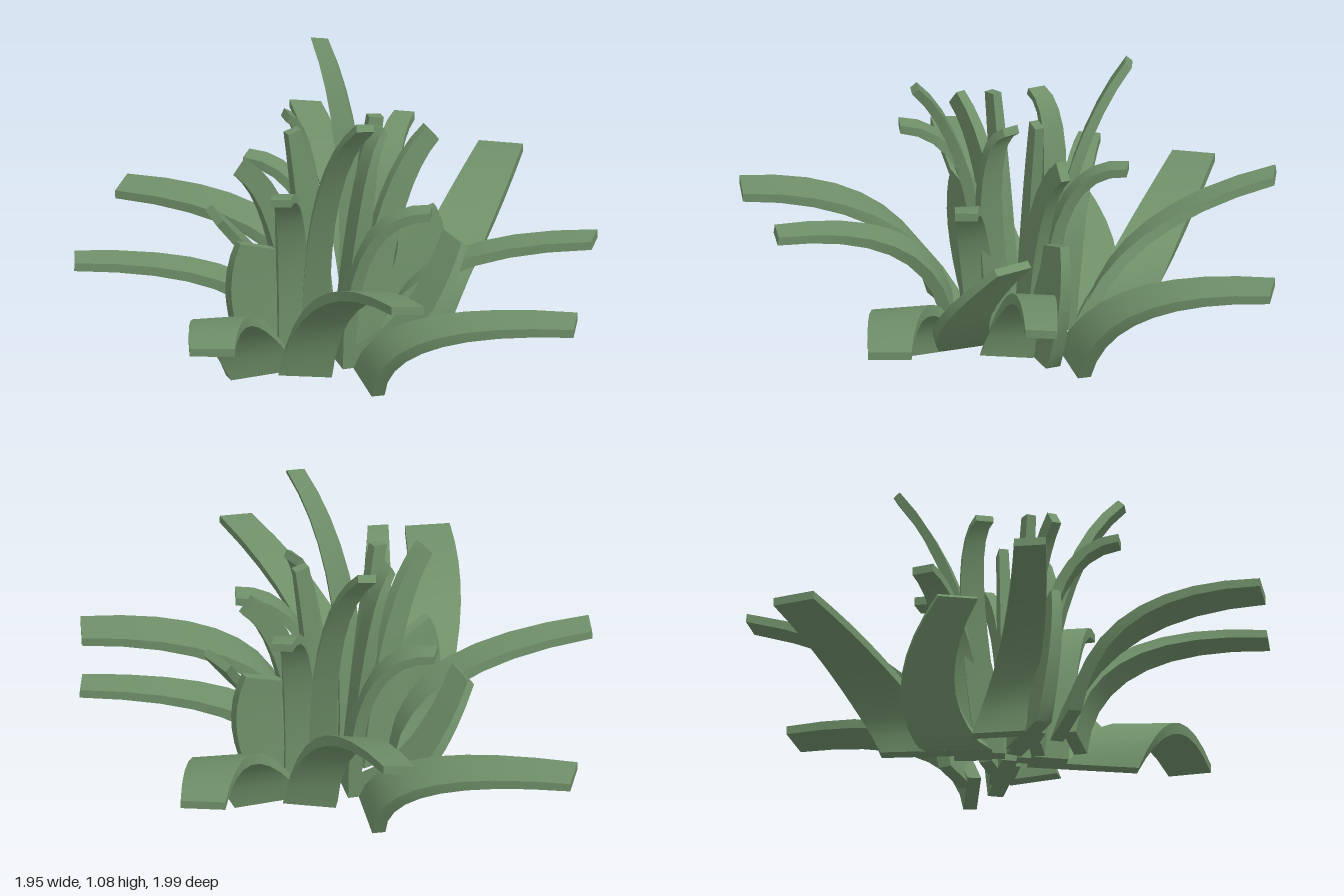
import * as THREE from 'three';

const material = new THREE.MeshStandardMaterial({ color: 0x6f9069 });
const SEGMENTS = 9;

// root: x, z on the ground; tip: x, y, z; width and thickness: at the root
// heading: direction of the width in degrees (x towards z), at root and tip
// lean: sideways bulge of the bend; rise: height of the bend relative to the tip
const outerBlades = [
  { name: 'outerLeafLow', root: [0.04, -0.35], tip: [-0.515, 0.335, -0.935], width: 0.27, heading: [-75, -55], lean: [0.04, -0.17], rise: 1.04 },
  { name: 'outerLeafHigh', root: [0.21, -0.17], tip: [0.215, 0.56, -0.95], width: 0.2, heading: [35, 27], lean: [-0.04, -0.07], rise: 0.85 },
  { name: 'outerLeafBroad', root: [0.34, -0.08], tip: [0.885, 0.42, -0.65], width: 0.28, heading: [8, 30], lean: [0.23, -0.02] },
  { name: 'outerLeafMiddle', root: [0.17, 0.12], tip: [0.93, 0.435, 0.31], width: 0.2, heading: [120, 120], lean: [0.04, -0.11], rise: 0.92 },
];
const innerBlades = [
  { name: 'curledLeaf', root: [0.0, -0.2], tip: [-0.37, 0.47, -0.28], width: 0.25, heading: [-75, -88], lean: [-0.12, -0.26], rise: 0.35 },
  { name: 'tallLeaf', root: [0.1, -0.06], tip: [0.09, 1.07, -0.41], width: 0.11, heading: [30, 27], lean: [0.05, -0.04], rise: 0.73 },
  { name: 'innerLeafBroad', root: [0.18, -0.02], tip: [0.38, 0.775, -0.28], width: 0.13, heading: [8, 30] },
  { name: 'innerLeafLow', root: [0.03, -0.14], tip: [-0.21, 0.645, -0.38], width: 0.14, heading: [-78, -55], lean: [0.02, -0.06] },
  { name: 'centreLeafCurved', root: [0, -0.08], tip: [-0.14, 0.91, -0.13], width: 0.11, heading: [-80, -90], lean: [0, -0.13], rise: 0.93 },
];
// Blades standing on edge, deep in the plane of their bend
const edgeBlades = [
  { name: 'edgeLeafShort', root: [0.2, 0.01], tip: [0.33, 0.49, -0.01], width: 0.06, thickness: 0.26, heading: [90, 90], lean: [0.2, 0], rise: 0.6 },
  { name: 'edgeLeafLong', root: [0.13, 0.02], tip: [0.395, 0.82, -0.01], width: 0.06, thickness: 0.12, heading: [90, 90], lean: [0.05, 0], rise: 0.78 },
  { name: 'edgeLeafCentre', root: [0.07, 0], tip: [0.17, 0.92, 0], width: 0.06, thickness: 0.09, heading: [90, 90], lean: [0.04, 0], rise: 0.6 },
];

// Sweeps a rectangle along a bent centre line; hard edges, smooth along the length
function bladeGeometry({ root, tip, width, heading, thickness = 0.05, lean = [0, 0], rise = 1 }) {
  const curve = new THREE.QuadraticBezierCurve3(
    new THREE.Vector3(root[0], 0, root[1]),
    new THREE.Vector3(root[0] + lean[0], tip[1] * rise, root[1] + lean[1]),
    new THREE.Vector3(...tip));
  const sections = [];
  for (let i = 0; i <= SEGMENTS; i++) {
    const t = i / SEGMENTS;
    const centre = curve.getPoint(t);
    const angle = THREE.MathUtils.degToRad(THREE.MathUtils.lerp(heading[0], heading[1], t));
    const across = new THREE.Vector3(Math.cos(angle), 0, Math.sin(angle));
    const normal = curve.getTangent(t).cross(across);
    if (i === 0) normal.y = 0; // flat foot on the ground
    normal.normalize().multiplyScalar(thickness * THREE.MathUtils.lerp(0.5, 0.32, t));
    across.multiplyScalar(width * THREE.MathUtils.lerp(0.5, 0.3, t));
    sections.push([[-1, -1], [1, -1], [1, 1], [-1, 1]].map(([w, n]) =>
      centre.clone().addScaledVector(across, w).addScaledVector(normal, n)));
  }

  const positions = [];
  const index = [];
  const add = (p) => positions.push(p.x, p.y, p.z);
  // Four long sides
  for (let side = 0; side < 4; side++) {
    const start = positions.length / 3;
    sections.forEach((s) => { add(s[side]); add(s[(side + 1) % 4]); });
    for (let i = 0; i < SEGMENTS; i++) {
      const a = start + i * 2;
      index.push(a, a + 1, a + 3, a, a + 3, a + 2);
    }
  }
  // Foot and tip caps
  for (const cap of [[...sections[0]].reverse(), sections[SEGMENTS]]) {
    const a = positions.length / 3;
    cap.forEach(add);
    index.push(a, a + 1, a + 2, a, a + 2, a + 3);
  }

  const geometry = new THREE.BufferGeometry();
  geometry.setAttribute('position', new THREE.Float32BufferAttribute(positions, 3));
  geometry.setIndex(index);
  geometry.computeVertexNormals();
  return geometry;
}

export function createModel() {
  const plant = new THREE.Group();
  plant.name = 'plant';
  const firstSet = new THREE.Group();
  firstSet.name = 'firstLeafSet';
  for (const blade of [...outerBlades, ...innerBlades, ...edgeBlades]) {
    const mesh = new THREE.Mesh(bladeGeometry(blade), material);
    mesh.name = blade.name;
    firstSet.add(mesh);
  }
  // A second, turned copy of the leaves completes the tuft
  const secondSet = firstSet.clone();
  secondSet.name = 'secondLeafSet';
  secondSet.rotation.y = THREE.MathUtils.degToRad(-169);
  plant.add(firstSet, secondSet);
  return plant;
}
